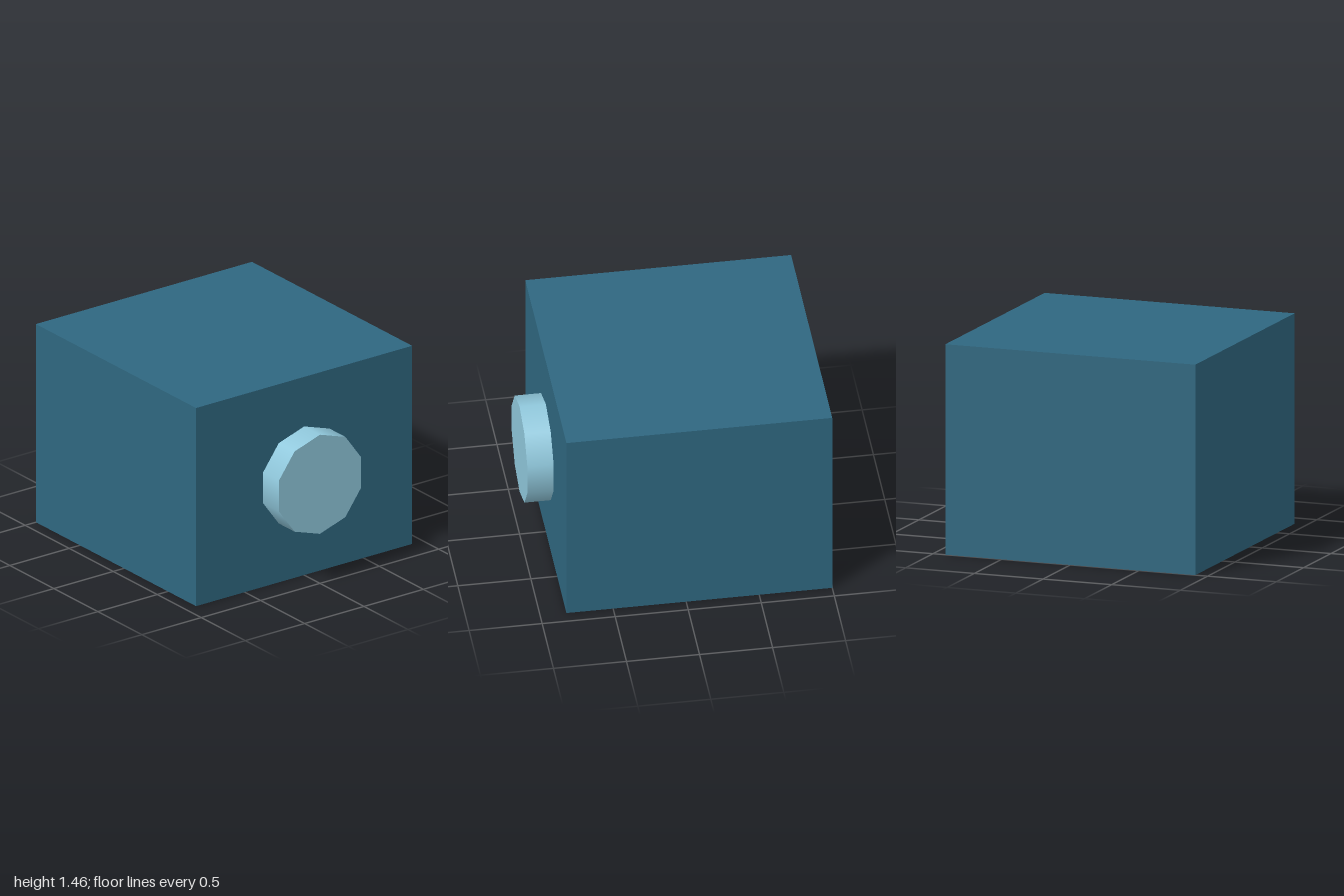
import * as THREE from 'three';

const WIDTH = 1.82, HEIGHT = 1.455, DEPTH = 1.82;
const KNOB_RADIUS = 0.364, KNOB_DEPTH = 0.18;

function addPart(group, name, geometry, color, position) {
  const mesh = new THREE.Mesh(geometry, new THREE.MeshStandardMaterial({ color }));
  mesh.name = name;
  mesh.position.set(...position);
  group.add(mesh);
}

export function createModel() {
  const group = new THREE.Group();
  group.name = 'boxWithKnob';

  // Plain box body, flush with the back
  addPart(group, 'body', new THREE.BoxGeometry(WIDTH, HEIGHT, DEPTH), 0x2f6780,
    [0, HEIGHT / 2, -1 + DEPTH / 2]);

  // Ten-sided round knob standing out of the front face, a corner at the top
  const knob = new THREE.CylinderGeometry(KNOB_RADIUS, KNOB_RADIUS, KNOB_DEPTH, 10);
  knob.rotateX(Math.PI / 2);
  addPart(group, 'frontKnob', knob, 0x90c8dc, [0, HEIGHT / 2, 1 - KNOB_DEPTH / 2]);

  return group;
}
